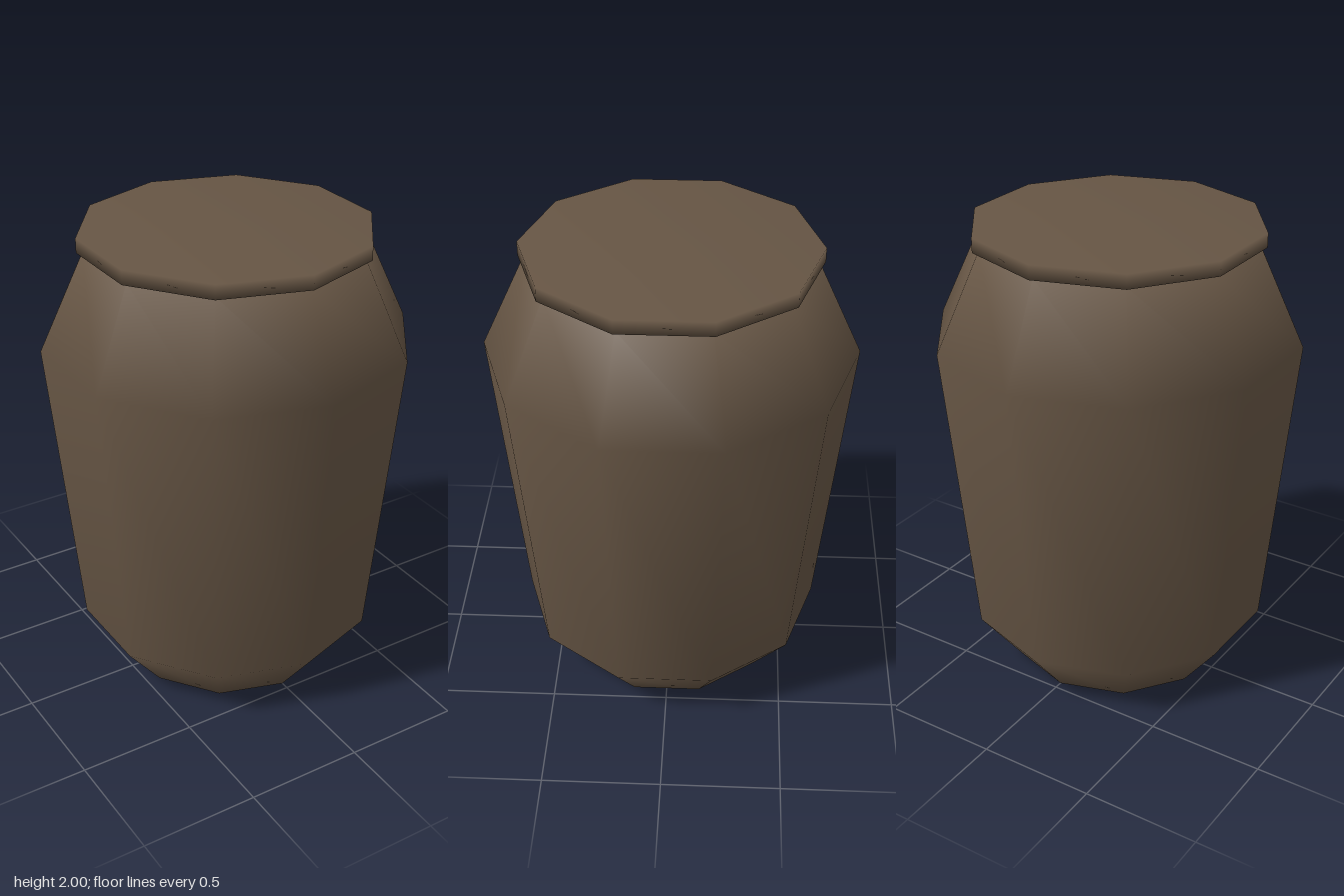
import * as THREE from 'three';

// Ten-sided, smoothly shaded solid turned from [radius, height] points, bottom to top.
function turned(name, profile, material) {
  const points = profile.map(([r, y]) => new THREE.Vector2(r, y));
  const mesh = new THREE.Mesh(new THREE.LatheGeometry(points, 10), material);
  mesh.name = name;
  return mesh;
}

export function createModel() {
  const model = new THREE.Group();
  model.name = 'jar';
  const clay = new THREE.MeshStandardMaterial({ color: 0x665544 });
  clay.name = 'brown clay';

  // Tapered body with a chamfered foot and sloping shoulder, closed at both ends
  model.add(turned('body', [
    [0, 0], [0.465, 0], [0.648, 0.23], [0.775, 1.53], [0.585, 1.94], [0, 1.94],
  ], clay));

  // Thin flat lid slightly wider than the neck
  model.add(turned('lid', [
    [0, 1.939], [0.61, 1.939], [0.61, 2], [0, 2],
  ], clay));

  return model;
}
